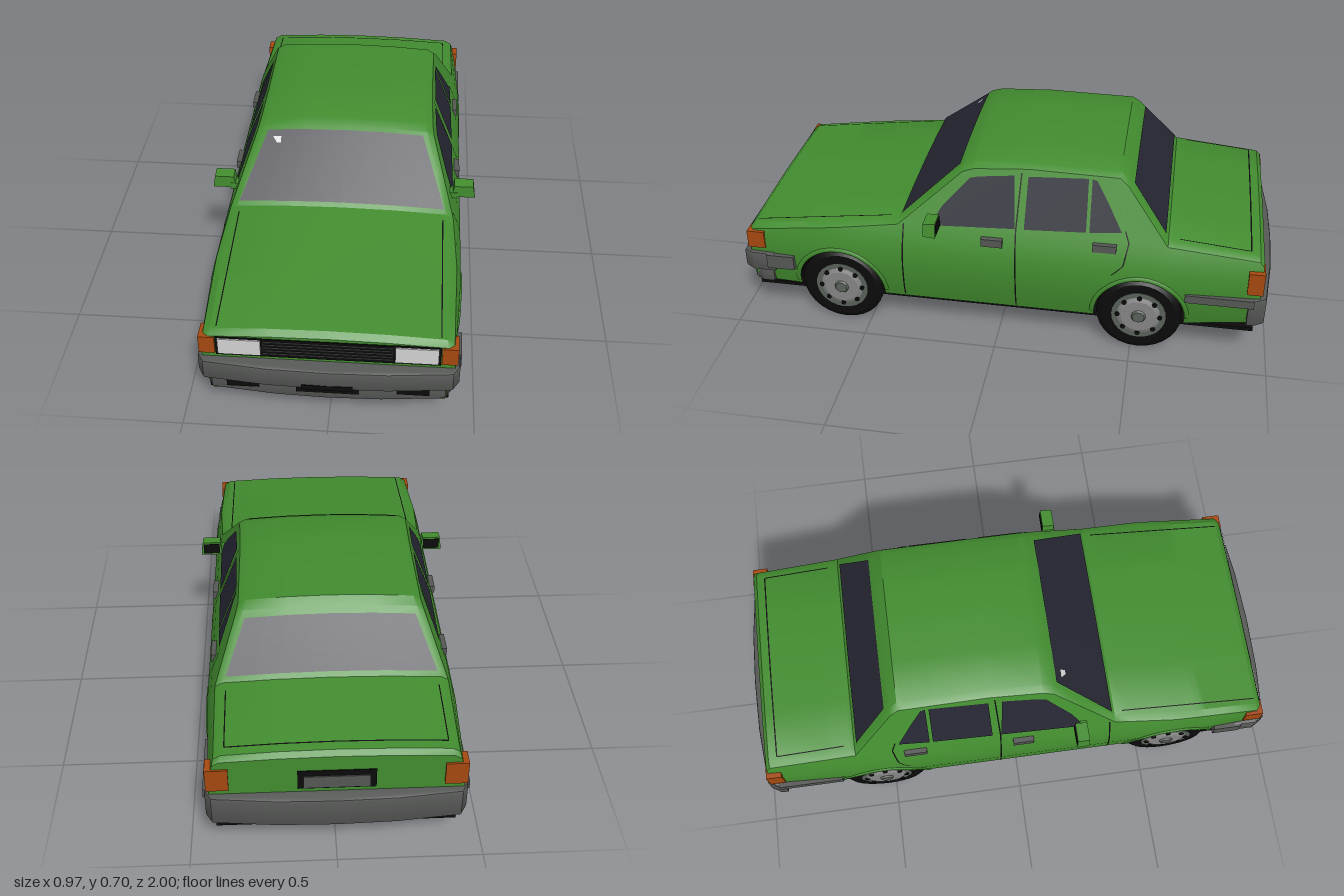
import * as THREE from 'three';
import { toCreasedNormals } from 'three/addons/utils/BufferGeometryUtils.js';

const mat = (name, color, side = THREE.FrontSide) => {
  const m = new THREE.MeshStandardMaterial({ color, side });
  m.name = name;
  return m;
};

// Piecewise linear lookup in a table of [key, value] with rising keys
function lerp(table, k) {
  if (k <= table[0][0]) return table[0][1];
  for (let i = 1; i < table.length; i++) {
    const [a, va] = table[i - 1], [b, vb] = table[i];
    if (k <= b) return va + (vb - va) * (k - a) / (b - a);
  }
  return table[table.length - 1][1];
}

// Body rules: half width by height, top edge by length, taper at both ends
const WIDTH = [[0.14, 0.41], [0.2, 0.428], [0.29, 0.44], [0.36, 0.437], [0.42, 0.42], [0.46, 0.403], [0.7, 0.307]];
const TOP = [[-0.95, 0.425], [-0.935, 0.443], [-0.61, 0.473], [-0.455, 0.665], [-0.425, 0.688], [-0.1, 0.693],
  [0.1, 0.68], [0.14, 0.667], [0.37, 0.468], [0.925, 0.393], [0.945, 0.375]];
const TAPER = [[-0.95, 0.96], [-0.6, 1], [0.6, 1], [0.945, 0.955]];
const WHEELS = [0.6, -0.525], AXLE = 0.158, ARCH = 0.166, CROWN = 0.012;

const sideX = (y, z) => lerp(WIDTH, y) * lerp(TAPER, z);
const shoulder = z => sideX(lerp(TOP, z), z) - 0.02;
function topY(x, z) {
  return lerp(TOP, z) + lerp([[0, CROWN], [0.5, CROWN * 0.75], [1, 0]], Math.abs(x) / shoulder(z));
}
function bottomY(z) {
  for (const c of WHEELS) {
    const d = Math.abs(z - c);
    if (d < ARCH) return AXLE + Math.sqrt(ARCH * ARCH - d * d);
  }
  return z < -0.7 ? 0.16 : 0.135;
}

// Grid surface from a rule fn(i, j) -> [x, y, z]
function surface(nu, nv, fn, crease = 0.5) {
  const pos = [], idx = [];
  for (let i = 0; i <= nu; i++) for (let j = 0; j <= nv; j++) pos.push(...fn(i, j));
  for (let i = 0; i < nu; i++) for (let j = 0; j < nv; j++) {
    const a = i * (nv + 1) + j, b = a + nv + 1;
    idx.push(a, b, a + 1, b, b + 1, a + 1);
  }
  const g = new THREE.BufferGeometry();
  g.setAttribute('position', new THREE.Float32BufferAttribute(pos, 3));
  g.setIndex(idx);
  return toCreasedNormals(g, crease);
}

// Cross-section of the body from the left sill over the top to the right sill
function ring(z) {
  const t = lerp(TOP, z), b = bottomY(z), s = shoulder(z);
  const half = [0.13, 0.2, 0.29, 0.36, 0.42, 0.46, 1].map(l => {
    const y = Math.min(Math.max(l, b), t - 0.015);
    return [sideX(y, z), y];
  });
  half.push([s, t], [s / 2, t + CROWN * 0.75]);
  return [...half, [0, t + CROWN], ...half.slice().reverse().map(([x, y]) => [-x, y])];
}

export function createModel() {
  const car = new THREE.Group();
  car.name = 'sedan';
  const paint = mat('green paint', 0x428c2f);
  const glass = mat('dark glass', 0x262633, THREE.DoubleSide);
  const black = mat('black', 0x0b0b0b, THREE.DoubleSide);
  const bumperGrey = mat('bumper grey', 0x555755);
  const hubGrey = mat('hub grey', 0x59615a);
  const silver = mat('silver', 0x858585);
  const lampWhite = mat('lamp white', 0xd2d2d2, THREE.DoubleSide);
  const amber = mat('amber', 0xa5480f);

  const add = (name, geo, material, parent = car) => {
    const m = new THREE.Mesh(geo, material);
    m.name = name;
    parent.add(m);
    return m;
  };
  const box = (name, x0, x1, y0, y1, z0, z1, material) =>
    add(name, new THREE.BoxGeometry(x1 - x0, y1 - y0, z1 - z0), material)
      .position.set((x0 + x1) / 2, (y0 + y1) / 2, (z0 + z1) / 2);
  const boxPair = (name, x0, x1, ...rest) => {
    box(name, x0, x1, ...rest);
    box(name, -x1, -x0, ...rest);
  };

  // Body shell, lofted from front to back with extra stations around the arches
  const stations = TOP.map(p => p[0]).concat([0.8, 0.25, -0.3, -0.7]);
  for (const c of WHEELS) {
    for (let i = 0; i <= 14; i++) stations.push(c + ARCH * Math.cos(i * Math.PI / 14));
    stations.push(c + ARCH + 0.001, c - ARCH - 0.001);
  }
  stations.sort((a, b) => b - a);
  const rings = stations.map(ring);
  add('bodyShell', surface(rings.length - 1, rings[0].length - 1, (i, j) => [...rings[i][j], stations[i]]), paint);
  for (const [name, i, turn] of [['nosePanel', 0, 0], ['tailPanel', rings.length - 1, Math.PI]]) {
    const shape = new THREE.Shape(rings[i].map(p => new THREE.Vector2(...p)));
    const panel = add(name, new THREE.ShapeGeometry(shape), paint);
    panel.position.z = stations[i];
    panel.rotation.y = turn;
  }

  // Dark underside
  box('floor', -0.405, 0.405, 0.125, 0.14, -0.94, 0.93, black);
  box('chassisCore', -0.3, 0.3, 0.13, 0.35, -0.92, 0.92, black);

  // Windscreen, rear window and seams lying on the upper surface
  const topPatch = (name, material, z0, z1, a0, b0, a1, b1, lift) =>
    add(name, surface(6, 8, (i, j) => {
      const u = i / 6, v = j / 8, z = z0 + (z1 - z0) * u;
      const a = a0 + (a1 - a0) * u, b = b0 + (b1 - b0) * u, x = b + (a - b) * v;
      return [x, topY(x, z) + lift, z];
    }), material);
  topPatch('windscreen', glass, 0.36, 0.155, -0.372, 0.372, -0.285, 0.285, 0.006);
  topPatch('rearWindow', glass, -0.475, -0.6, -0.295, 0.295, -0.365, 0.365, 0.006);
  topPatch('windscreenSticker', lampWhite, 0.195, 0.177, -0.25, -0.235, -0.265, -0.235, 0.009);
  topPatch('bootSeam', black, -0.9, -0.905, -0.365, 0.365, -0.365, 0.365, 0.002);
  for (const s of [-1, 1]) {
    topPatch('bonnetSeam', black, 0.92, 0.4, s * 0.368, s * 0.372, s * 0.366, s * 0.37, 0.002);
    topPatch('bootSideSeam', black, -0.65, -0.9, s * 0.363, s * 0.367, s * 0.363, s * 0.367, 0.002);
  }

  // Side windows and door seams, following the flanks
  const windows = {
    frontDoorWindow: [[0.25, 0.462], [0.205, 0.535], [0.11, 0.635], [0.08, 0.642], [-0.05, 0.655], [-0.062, 0.475]],
    rearDoorWindow: [[-0.095, 0.475], [-0.1, 0.655], [-0.315, 0.665], [-0.318, 0.485]],
    quarterWindow: [[-0.33, 0.485], [-0.328, 0.665], [-0.345, 0.66], [-0.39, 0.59], [-0.445, 0.495]],
  };
  const seams = [
    [[0.145, 0.352], [0.46, 0.345]],
    [[0.145, -0.072], [0.3, -0.072], [0.47, -0.068], [0.665, -0.078]],
    [[0.34, -0.42], [0.38, -0.46], [0.46, -0.475], [0.5, -0.46]],
  ];
  for (const s of [-1, 1]) {
    for (const [name, pts] of Object.entries(windows)) {
      const g = new THREE.ShapeGeometry(new THREE.Shape(pts.map(p => new THREE.Vector2(...p))));
      const p = g.attributes.position;
      for (let i = 0; i < p.count; i++) {
        const z = p.getX(i), y = p.getY(i);
        p.setXYZ(i, s * (sideX(y, z) + 0.004), y, z);
      }
      g.computeVertexNormals();
      add(name, g, glass);
    }
    for (const path of seams) add('doorSeam', surface(16, 1, (i, j) => {
      const y0 = path[0][0], y = y0 + (path[path.length - 1][0] - y0) * i / 16;
      const z = lerp(path, y) + j * 0.005;
      return [s * (sideX(y, z) + 0.002), y, z];
    }), black);
  }
  boxPair('frontDoorHandle', 0.405, 0.432, 0.407, 0.438, -0.02, 0.058, bumperGrey);
  boxPair('rearDoorHandle', 0.4, 0.424, 0.422, 0.452, -0.43, -0.345, bumperGrey);

  // Door mirrors, narrowing towards the outer top
  for (const s of [-1, 1]) {
    const g = new THREE.BoxGeometry(0.085, 0.056, 0.045), p = g.attributes.position;
    for (let i = 0; i < p.count; i++) {
      if (p.getY(i) > 0) p.setX(i, p.getX(i) * 0.82);
      if (p.getZ(i) > 0) p.setY(i, p.getY(i) * 0.85);
    }
    g.computeVertexNormals();
    add('mirrorHousing', g, paint).position.set(s * 0.443, 0.488, 0.235);
    add('mirrorGlass', new THREE.BoxGeometry(0.064, 0.042, 0.004), black).position.set(s * 0.443, 0.488, 0.212);
    add('mirrorArm', new THREE.BoxGeometry(0.04, 0.025, 0.04), paint).position.set(s * 0.4, 0.472, 0.24);
  }

  // Wheels with arch liners and painted arch lips
  for (const z of WHEELS) for (const s of [-1, 1]) {
    const wheel = new THREE.Group();
    wheel.name = z > 0 ? 'frontWheel' : 'rearWheel';
    wheel.position.set(s * 0.367, AXLE, z);
    wheel.rotation.z = -s * Math.PI / 2;
    car.add(wheel);
    const profile = [[0, -0.052], [0.135, -0.052], [0.156, -0.038], [0.156, 0.038], [0.135, 0.052], [0, 0.052]];
    const tyre = new THREE.LatheGeometry(profile.map(p => new THREE.Vector2(...p)), 28);
    add('tyre', toCreasedNormals(tyre, 0.5), black, wheel);
    add('rim', new THREE.CylinderGeometry(0.1, 0.105, 0.108, 24), hubGrey, wheel);
    add('hubCover', new THREE.CylinderGeometry(0.065, 0.082, 0.008, 16), silver, wheel).position.y = 0.057;
    add('hubCap', new THREE.CylinderGeometry(0.022, 0.028, 0.008, 12), hubGrey, wheel).position.y = 0.064;
    for (let k = 0; k < 8; k++) {
      const a = k * Math.PI / 4;
      const slot = add('rimSlot', new THREE.CylinderGeometry(0.009, 0.009, 0.006, 8), black, wheel);
      slot.position.set(0.078 * Math.cos(a), 0.058, 0.078 * Math.sin(a));
    }
    const liner = add('archLiner', surface(14, 1, (i, j) => {
      const a = i * Math.PI / 14;
      const y = AXLE + ARCH * Math.sin(a), dz = ARCH * Math.cos(a);
      return [j ? sideX(y, z + dz) - 0.003 : 0.3, y, dz];
    }), black);
    liner.scale.x = s;
    liner.position.z = z;
    const lip = new THREE.TorusGeometry(ARCH + 0.008, 0.009, 6, 20, Math.PI).rotateY(Math.PI / 2);
    const p = lip.attributes.position;
    for (let i = 0; i < p.count; i++) {
      const y = p.getY(i) + AXLE;
      p.setXYZ(i, p.getX(i) * 0.6 + s * sideX(y, z + p.getZ(i)), y, p.getZ(i) + z);
    }
    lip.computeVertexNormals();
    add('archLip', lip, paint);
  }

  // Bumpers: bowed plan outline extruded upwards with a bevel
  function bumper(name, dir, y0, y1, tail, inset, material) {
    const half = [[0.428, tail], [0.428, 0.935], [0.41, 0.965], [0.2, 0.985]].map(([x, z]) => [x - inset, z - inset * (z > tail)]);
    const pts = [...half, [0, 0.99 - inset], ...half.slice().reverse().map(([x, z]) => [-x, z])];
    const shape = new THREE.Shape(pts.map(([x, z]) => new THREE.Vector2(x, -z * dir)));
    const g = new THREE.ExtrudeGeometry(shape, {
      depth: y1 - y0 - 0.02, bevelThickness: 0.01, bevelSize: 0.009, bevelSegments: 2 });
    g.rotateX(-Math.PI / 2);
    add(name, toCreasedNormals(g, 0.5), material).position.y = y0 + 0.01;
  }
  bumper('frontBumper', 1, 0.205, 0.285, 0.86, 0, bumperGrey);
  bumper('frontSkirt', 1, 0.14, 0.21, 0.88, 0.022, bumperGrey);
  bumper('rearBumper', -1, 0.17, 0.285, 0.92, 0, bumperGrey);
  boxPair('frontBumperSide', 0.41, 0.443, 0.225, 0.282, 0.775, 0.88, bumperGrey);
  boxPair('rearBumperSide', 0.42, 0.444, 0.253, 0.285, -0.93, -0.685, bumperGrey);
  box('centreIntake', -0.105, 0.105, 0.168, 0.208, 0.94, 0.977, black);
  box('upperIntake', -0.085, 0.085, 0.205, 0.225, 0.94, 1.0, black);
  boxPair('sideIntake', 0.23, 0.34, 0.17, 0.196, 0.93, 0.968, black);

  // Grille and front lamps
  box('grille', -0.22, 0.22, 0.297, 0.375, 0.93, 0.949, black);
  for (let k = 0; k < 5; k++) {
    const y = 0.31 + k * 0.013;
    box('grilleBar', -0.215, 0.215, y, y + 0.003, 0.94, 0.952, bumperGrey);
  }
  boxPair('headlightSurround', 0.218, 0.372, 0.296, 0.376, 0.93, 0.948, black);
  boxPair('headlight', 0.222, 0.364, 0.304, 0.37, 0.93, 0.953, lampWhite);
  boxPair('frontIndicator', 0.374, 0.428, 0.304, 0.374, 0.885, 0.951, amber);

  // Tail lamps and number plate recess
  boxPair('tailLamp', 0.355, 0.431, 0.305, 0.395, -0.957, -0.9, amber);
  box('plateRecess', -0.13, 0.13, 0.3, 0.378, -0.953, -0.94, black);
  box('plateHolder', -0.11, 0.11, 0.305, 0.355, -0.957, -0.94, bumperGrey);
  return car;
}
